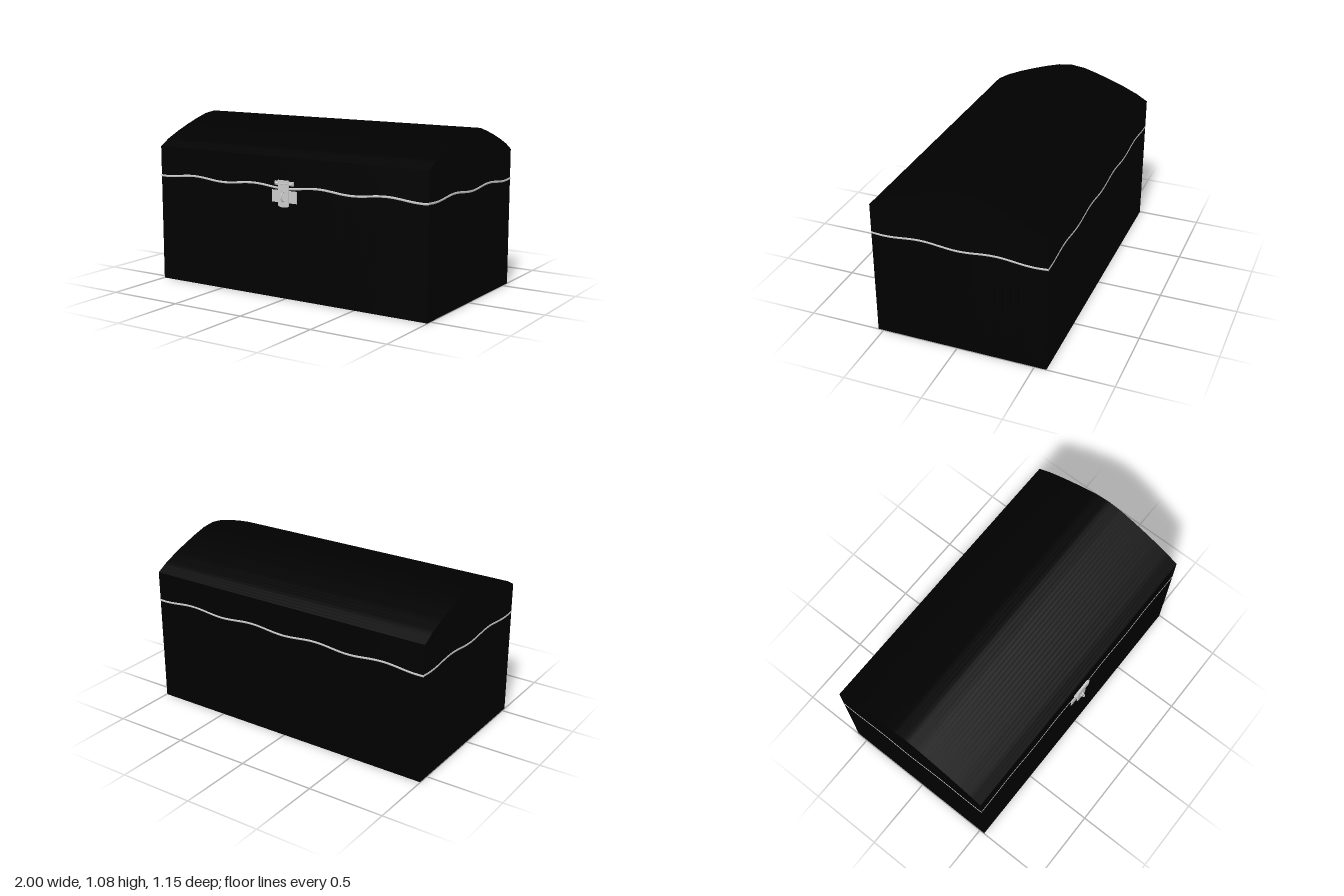
import * as THREE from 'three';

const W = 0.998, D = 0.556, ZC = -0.02;
// half of the lid arch: distance from the ridge, height
const ARCH = [[0, 1.082], [0.095, 1.071], [0.19, 1.044], [0.287, 1.012], [0.385, 0.976], [0.48, 0.935], [D, 0.892]];

const lidTop = (z) => {
  const d = Math.min(Math.abs(z - ZC), D);
  let i = 0;
  while (i < ARCH.length - 2 && d > ARCH[i + 1][0]) i++;
  const [a, b] = [ARCH[i], ARCH[i + 1]];
  return a[1] + (b[1] - a[1]) * (d - a[0]) / (b[0] - a[0]);
};

// surface through rows of points, rows going up and points going right as seen from outside
function grid(rows) {
  const n = rows[0].length, index = [];
  for (let r = 0; r < rows.length - 1; r++) {
    for (let i = 0; i < n - 1; i++) {
      const a = r * n + i, b = a + 1, c = a + n, d = c + 1;
      index.push(a, b, d, a, d, c);
    }
  }
  const g = new THREE.BufferGeometry().setFromPoints(rows.flat());
  g.setIndex(index);
  g.computeVertexNormals();
  return g;
}

// the four sides of the chest, each as a list of outline points
const ends = [...ARCH].reverse().map(([d]) => d).concat(ARCH.slice(1).map(([d]) => -d));
const endZ = [];
ends.forEach((d, i) => {
  if (i) for (let k = 1; k <= 4; k++) endZ.push(ZC + ends[i - 1] + (d - ends[i - 1]) * k / 4);
  else endZ.push(ZC + d);
});
const longX = Array.from({ length: 97 }, (_, i) => -W + 2 * W * i / 96);
const wave = (t, period) => 0.705 - 0.009 * Math.cos(2 * Math.PI * t / period);
const SIDES = [
  longX.map((x) => ({ x, z: ZC + D, seam: wave(x, 0.48) })),
  endZ.map((z) => ({ x: W, z, seam: wave(z - ZC, 0.47) })),
  longX.map((x) => ({ x: -x, z: ZC - D, seam: wave(x, 0.48) })),
  [...endZ].reverse().map((z) => ({ x: -W, z, seam: wave(z - ZC, 0.47) })),
];

export function createModel() {
  const model = new THREE.Group();
  const black = new THREE.MeshStandardMaterial({ color: 0x000000, side: THREE.DoubleSide });
  const grey = new THREE.MeshStandardMaterial({ color: 0xcccccc, side: THREE.DoubleSide });
  const add = (parent, name, geometry, material, x = 0, y = 0, z = 0) => {
    const m = new THREE.Mesh(geometry, material);
    m.name = name;
    m.position.set(x, y, z);
    parent.add(m);
    return m;
  };
  const group = (name) => {
    const g = new THREE.Group();
    g.name = name;
    model.add(g);
    return g;
  };

  // band around the chest; each level is [outward offset, height rule]
  const walls = (parent, name, material, levels) => SIDES.forEach((side) => {
    const rows = levels.map(([out, height]) => side.map((p) => new THREE.Vector3(
      p.x * (W + out) / W, height(p), ZC + (p.z - ZC) * (D + out) / D)));
    add(parent, name, grid(rows), material);
  });

  // box with a wavy rim
  const base = group('base');
  walls(base, 'baseWall', black, [[0, () => 0], [0, (p) => p.seam]]);
  const floor = add(base, 'floor', new THREE.PlaneGeometry(2 * W, 2 * D), black, 0, 0, ZC);
  floor.rotation.x = Math.PI / 2;

  // arched lid whose lower edge follows the same wave
  const lid = group('lid');
  walls(lid, 'lidWall', black, [[0, (p) => p.seam], [0, (p) => lidTop(p.z)]]);
  const roof = endZ.map((z) => [-W, W].map((x) => new THREE.Vector3(x, lidTop(z), z)));
  add(lid, 'lidRoof', grid(roof), black);

  // thin metal trim along the seam
  const trim = group('seamTrim');
  walls(trim, 'trimStrip', grey, [
    [0, (p) => p.seam - 0.007], [0.002, (p) => p.seam - 0.004],
    [0.002, (p) => p.seam + 0.003], [0, (p) => p.seam + 0.007],
  ]);

  // hasp latch on the front
  const latch = group('latch');
  const face = ZC + D;
  latch.position.set(-0.003, 0, face);
  add(latch, 'staplePlate', new THREE.BoxGeometry(0.186, 0.076, 0.005), grey, 0, 0.647, 0.0025);
  add(latch, 'hingePlate', new THREE.BoxGeometry(0.14, 0.026, 0.007), grey, 0, 0.73, 0.0035);
  const pin = add(latch, 'hingePin', new THREE.CylinderGeometry(0.007, 0.007, 0.13, 12), grey, 0, 0.728, 0.009);
  pin.rotation.z = Math.PI / 2;

  // strap with clipped lower corners and a slot for the staple
  const strap = new THREE.Shape();
  strap.moveTo(-0.04, 0.75);
  strap.lineTo(-0.04, 0.592);
  strap.quadraticCurveTo(-0.036, 0.583, 0, 0.58);
  strap.quadraticCurveTo(0.036, 0.583, 0.04, 0.592);
  strap.lineTo(0.04, 0.75);
  const slot = new THREE.Path();
  slot.absarc(0, 0.672, 0.013, 0, Math.PI, false);
  slot.absarc(0, 0.624, 0.013, Math.PI, 2 * Math.PI, false);
  strap.holes.push(slot);
  add(latch, 'strap', new THREE.ExtrudeGeometry(strap, { depth: 0.007, bevelEnabled: false, curveSegments: 8 }), grey, 0, 0, 0.008);

  // loop reaching out through the slot
  const loop = new THREE.CatmullRomCurve3([[0.677, 0.002], [0.677, 0.017], [0.668, 0.03], [0.648, 0.036],
    [0.628, 0.03], [0.619, 0.017], [0.619, 0.002]].map(([y, z]) => new THREE.Vector3(0, y, z)));
  add(latch, 'staple', new THREE.TubeGeometry(loop, 28, 0.005, 8), grey);

  return model;
}
